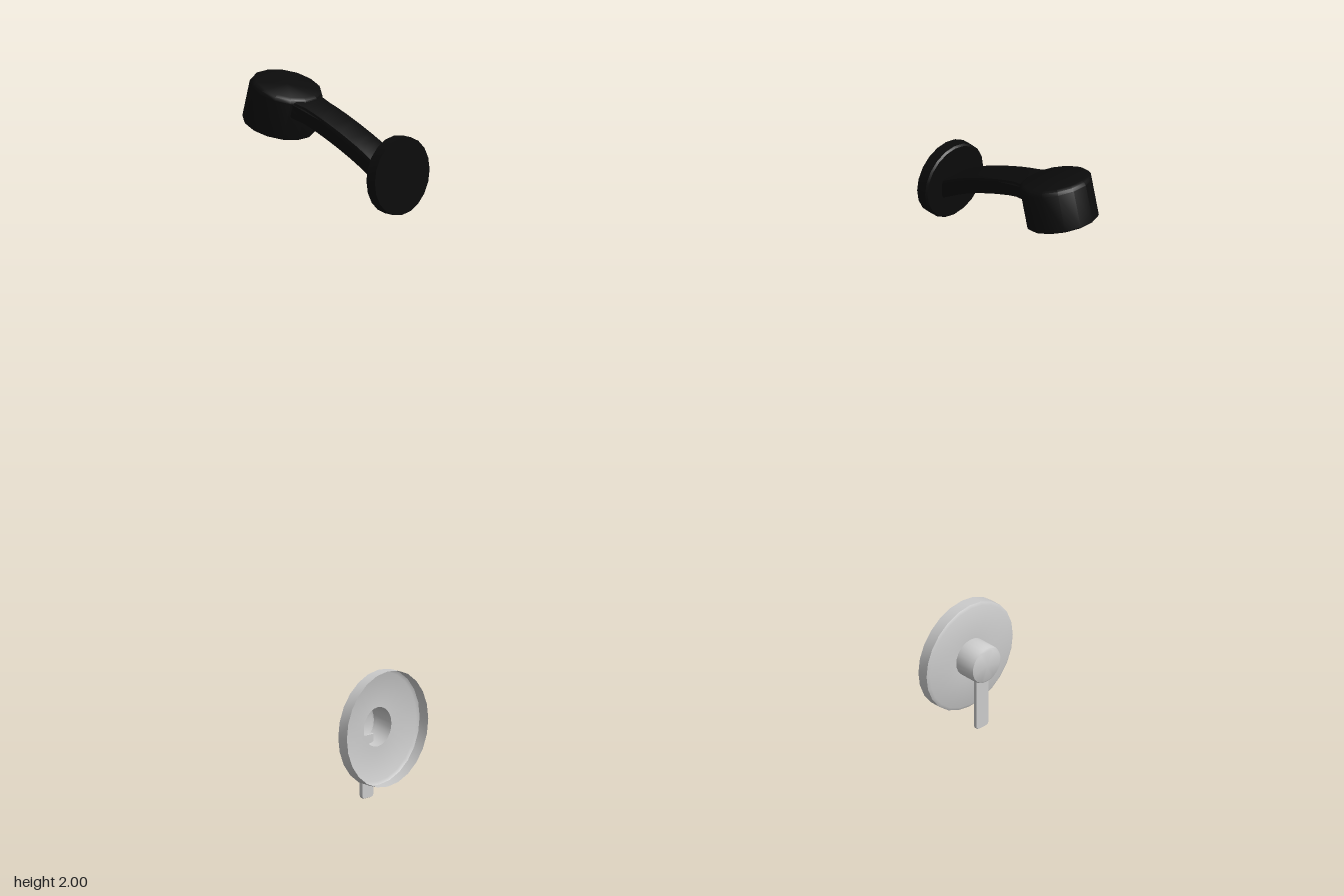
import * as THREE from 'three';
import { toCreasedNormals } from 'three/addons/utils/BufferGeometryUtils.js';

const black = new THREE.MeshStandardMaterial({ color: 0x0b0b0b });
const blackThin = new THREE.MeshStandardMaterial({ color: 0x0b0b0b, side: THREE.DoubleSide });
const nozzleGrey = new THREE.MeshStandardMaterial({ color: 0xaaaaaa });
const grey = new THREE.MeshStandardMaterial({ color: 0xcccccc });
const greyShell = new THREE.MeshStandardMaterial({ color: 0xcccccc, side: THREE.DoubleSide });

const add = (parent, name, geometry, material) => {
  const mesh = new THREE.Mesh(geometry, material);
  mesh.name = name;
  parent.add(mesh);
  return mesh;
};

// Turned part: profile of [radius, height], running upwards along y
const turned = (profile, sides, start = 0) => toCreasedNormals(
  new THREE.LatheGeometry(profile.map(([r, h]) => new THREE.Vector2(r, h)), sides, start), 0.6);

// Curved flat arm: a side outline in (z, y), extruded across x
function armGeometry(width, thickness) {
  const bevel = 0.008;
  const path = new THREE.CatmullRomCurve3([
    [0.255, 1.772], [0.17, 1.822], [0.08, 1.864], [-0.02, 1.902], [-0.1, 1.925],
  ].map(([z, y]) => new THREE.Vector3(z, y, 0)));
  const upper = [], lower = [];
  const half = thickness / 2 - bevel;
  for (let i = 0; i <= 12; i++) {
    const p = path.getPoint(i / 12), t = path.getTangent(i / 12);
    upper.push(new THREE.Vector2(p.x + t.y * half, p.y - t.x * half));
    lower.unshift(new THREE.Vector2(p.x - t.y * half, p.y + t.x * half));
  }
  const depth = width - 2 * bevel;
  const geometry = new THREE.ExtrudeGeometry(new THREE.Shape([...upper, ...lower]), {
    depth, bevelThickness: bevel, bevelSize: bevel, bevelSegments: 2,
  });
  geometry.translate(0, 0, -depth / 2).rotateY(-Math.PI / 2);
  // Slight flare where the arm meets the head
  const pos = geometry.attributes.position;
  for (let i = 0; i < pos.count; i++) {
    const flare = THREE.MathUtils.clamp((-0.05 - pos.getZ(i)) / 0.04, 0, 1);
    pos.setX(i, pos.getX(i) * (1 + 0.2 * flare));
  }
  return toCreasedNormals(geometry, 0.6);
}

export function createModel() {
  const model = new THREE.Group();
  model.name = 'showerSet';

  // Shower: wall flange, arm and tilted head
  const shower = new THREE.Group();
  shower.name = 'shower';
  shower.position.x = 0.053;
  model.add(shower);

  const flange = add(shower, 'wallFlange', turned(
    [[0, 0], [0.106, 0], [0.111, 0.005], [0.111, 0.037], [0, 0.037]], 20), black);
  flange.rotation.x = Math.PI / 2;
  flange.position.set(0, 1.785, 0.244);

  add(shower, 'showerArm', armGeometry(0.1, 0.05), blackThin);

  const head = new THREE.Group();
  head.name = 'showerHead';
  head.position.set(0, 1.913, -0.175);
  head.rotation.x = THREE.MathUtils.degToRad(15);
  shower.add(head);
  add(head, 'headBody', turned([
    [0, -0.062], [0.1, -0.062], [0.1035, -0.058], [0.1035, 0.05], [0.099, 0.059], [0.09, 0.064], [0, 0.064],
  ], 14, Math.PI / 2), black);
  const face = add(head, 'sprayFace', new THREE.CircleGeometry(0.1, 14), nozzleGrey);
  face.rotation.x = Math.PI / 2;
  face.position.y = -0.064;

  // Valve: hollow wall plate running into a round knob, with a flat lever
  const valve = new THREE.Group();
  valve.name = 'valve';
  valve.position.y = 0.21;
  model.add(valve);

  const plate = add(valve, 'valvePlateAndKnob', turned([
    [0, 0.17], [0.047, 0.17], [0.053, 0.173], [0.056, 0.179], [0.056, 0.237],
    [0.156, 0.237], [0.165, 0.242], [0.165, 0.275],
  ], 24), greyShell);
  plate.rotation.x = Math.PI / 2;

  const tab = new THREE.Shape();
  const w = 0.023, end = -0.209, c = 0.012;
  tab.moveTo(w, -0.03);
  tab.lineTo(-w, -0.03);
  tab.lineTo(-w, end + c);
  tab.quadraticCurveTo(-w, end, -w + c, end);
  tab.lineTo(w - c, end);
  tab.quadraticCurveTo(w, end, w, end + c);
  const lever = add(valve, 'valveLever', toCreasedNormals(new THREE.ExtrudeGeometry(tab, {
    depth: 0.006, bevelThickness: 0.002, bevelSize: 0.001, bevelSegments: 1, curveSegments: 4,
  }), 0.6), grey);
  lever.position.z = 0.192;

  return model;
}
